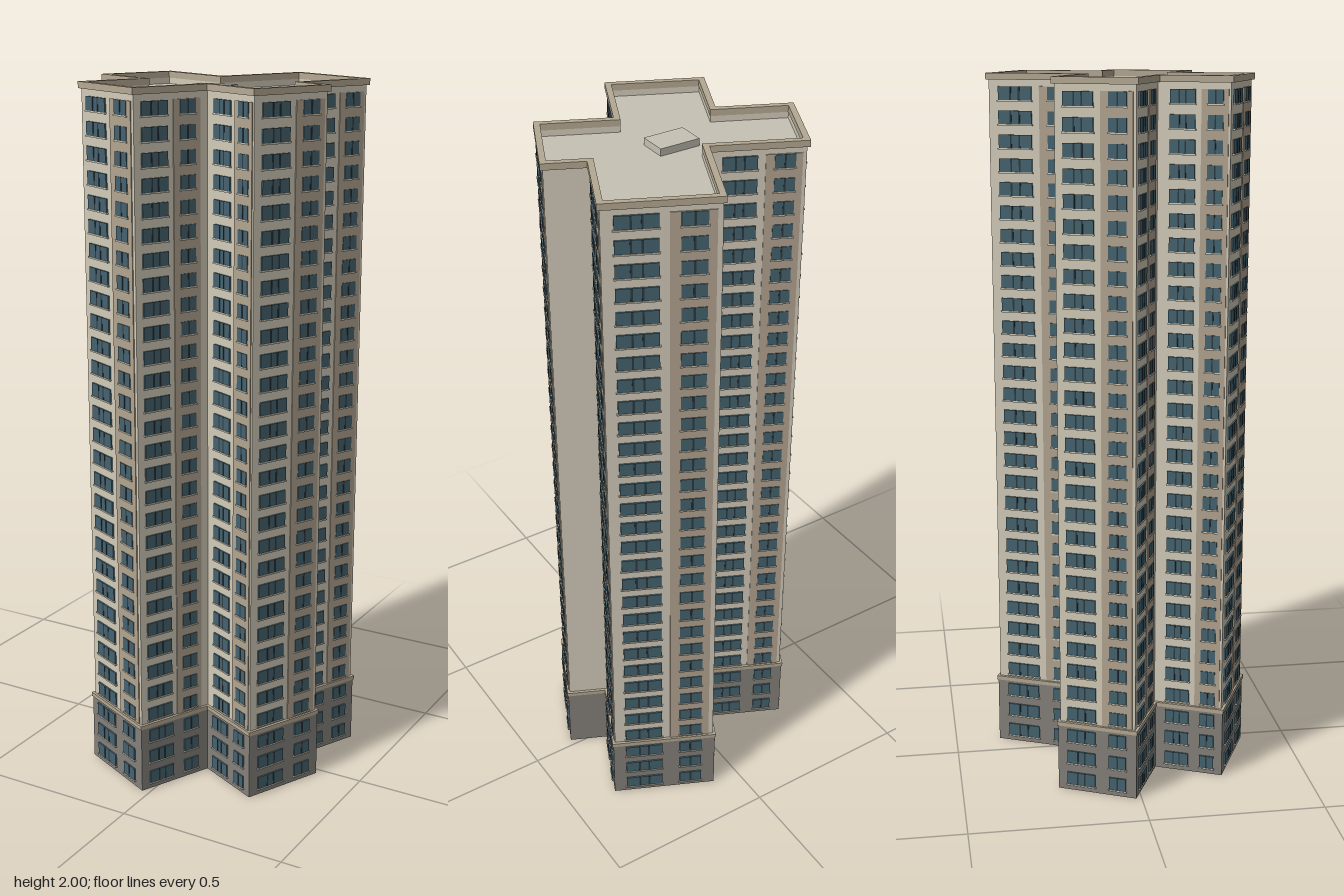
import * as THREE from 'three';
import { mergeGeometries } from 'three/addons/utils/BufferGeometryUtils.js';

const material = (name, color) => {
  const m = new THREE.MeshStandardMaterial({ color });
  m.name = name;
  return m;
};

// Cross-shaped plan as [x, z], each edge running left to right seen from outside
const PLAN = [
  [-0.345, 0.145], [-0.137, 0.145], [-0.137, 0.345], [0.137, 0.345],
  [0.137, 0.114], [0.345, 0.114], [0.345, -0.139], [0.228, -0.139],
  [0.228, -0.371], [-0.085, -0.371], [-0.085, -0.093], [-0.343, -0.093],
];
const BLANK_EDGE = 6;
const FLOORS = 30, BASE_FLOORS = 3, PITCH = 0.0658, FIRST = 0.037;
const BASE_TOP = 0.2, ROOF = 1.965, BASE_INSET = 0.003, TOWER_INSET = 0.008;

// Outward direction of plan edge i
function normal(i) {
  const n = PLAN.length, a = PLAN[(i + n) % n], b = PLAN[(i + 1 + n) % n];
  const l = Math.hypot(b[0] - a[0], b[1] - a[1]);
  return [-(b[1] - a[1]) / l, (b[0] - a[0]) / l];
}

// Plan corners moved inwards by d
function outline(d) {
  return PLAN.map(([x, z], i) => {
    const p = normal(i - 1), q = normal(i);
    return new THREE.Vector2(x - (p[0] + q[0]) * d, -(z - (p[1] + q[1]) * d));
  });
}

// Vertical slab of the plan, optionally hollow
function slab(inset, y0, y1, holeInset) {
  const shape = new THREE.Shape(outline(inset));
  if (holeInset) shape.holes.push(new THREE.Path(outline(holeInset)));
  const g = new THREE.ExtrudeGeometry(shape, { depth: y1 - y0, bevelEnabled: false });
  return g.rotateX(-Math.PI / 2).translate(0, y0, 0);
}

// Thin plate on edge i between fractions t0 and t1, centred at height y
function plate(i, t0, t1, y, h, inset, thick) {
  const a = PLAN[i], b = PLAN[(i + 1) % PLAN.length], n = normal(i);
  const dx = b[0] - a[0], dz = b[1] - a[1], t = (t0 + t1) / 2;
  const out = thick / 2 - inset - 0.0005;
  return new THREE.BoxGeometry((t1 - t0) * Math.hypot(dx, dz), h, thick)
    .rotateY(Math.atan2(n[0], n[1]))
    .translate(a[0] + dx * t + n[0] * out, y, a[1] + dz * t + n[1] * out);
}

export function createModel() {
  const model = new THREE.Group();
  model.name = 'apartmentTower';
  const tower = new THREE.Group();
  tower.name = 'towerBody';
  tower.rotation.y = -THREE.MathUtils.degToRad(25);
  model.add(tower);

  const cream = material('cream wall', 0xd3ccba);
  const tan = material('tan panel', 0xb3a591);
  const grey = material('grey base', 0x85817b);
  const glass = material('blue glass', 0x45636f);
  const dark = material('dark mullion', 0x2c3a40);
  const trim = material('stone trim', 0xb5a993);
  const roofMat = material('roof', 0xc6c2b5);
  const add = (name, geometry, mat, parent = tower) => {
    const m = new THREE.Mesh(geometry, mat);
    m.name = name;
    parent.add(m);
  };

  // Base, shaft and roof edge
  add('base', slab(BASE_INSET, 0, BASE_TOP - 0.005), grey);
  add('baseBand', slab(0, BASE_TOP - 0.005, BASE_TOP + 0.007), trim);
  add('shaft', slab(TOWER_INSET, BASE_TOP, ROOF - 0.004), cream);
  add('roofDeck', slab(TOWER_INSET + 0.001, ROOF - 0.004, ROOF), roofMat);
  add('parapet', slab(TOWER_INSET, ROOF - 0.004, 1.982, 0.017), cream);
  add('parapetCap', slab(0.001, 1.982, 2, 0.018), trim);

  // Facade details
  const panels = [], panes = [], bars = [], sills = [];
  PLAN.forEach((_, i) => {
    if (i === BLANK_EDGE) return;
    panels.push(plate(i, 0.56, 0.93, (BASE_TOP + ROOF) / 2, ROOF - BASE_TOP, TOWER_INSET, 0.003));
    for (let f = 0; f < FLOORS; f++) {
      const y = FIRST + f * PITCH;
      const inset = f < BASE_FLOORS ? BASE_INSET : TOWER_INSET;
      for (const [t0, t1] of [[0.13, 0.48], [0.65, 0.86]]) {
        const mid = (t0 + t1) / 2;
        panes.push(plate(i, t0, t1, y, 0.037, inset, 0.005));
        const offsets = t1 < 0.5 ? [-0.045, 0.045] : [0];
        for (const o of offsets)
          bars.push(plate(i, mid + o - 0.009, mid + o + 0.009, y, 0.037, inset, 0.006));
        sills.push(plate(i, t0 - 0.01, t1 + 0.01, y - 0.0205, 0.004, inset, 0.007));
      }
    }
  });
  add('facadePanels', mergeGeometries(panels), tan);
  add('windowPanes', mergeGeometries(panes), glass);
  add('windowMullions', mergeGeometries(bars), dark);
  add('windowSills', mergeGeometries(sills), cream);

  // Roof hatch, square to the model's axes
  add('roofHatch', new THREE.BoxGeometry(0.117, 0.02, 0.08).translate(-0.001, ROOF + 0.01, 0), roofMat, model);
  return model;
}
